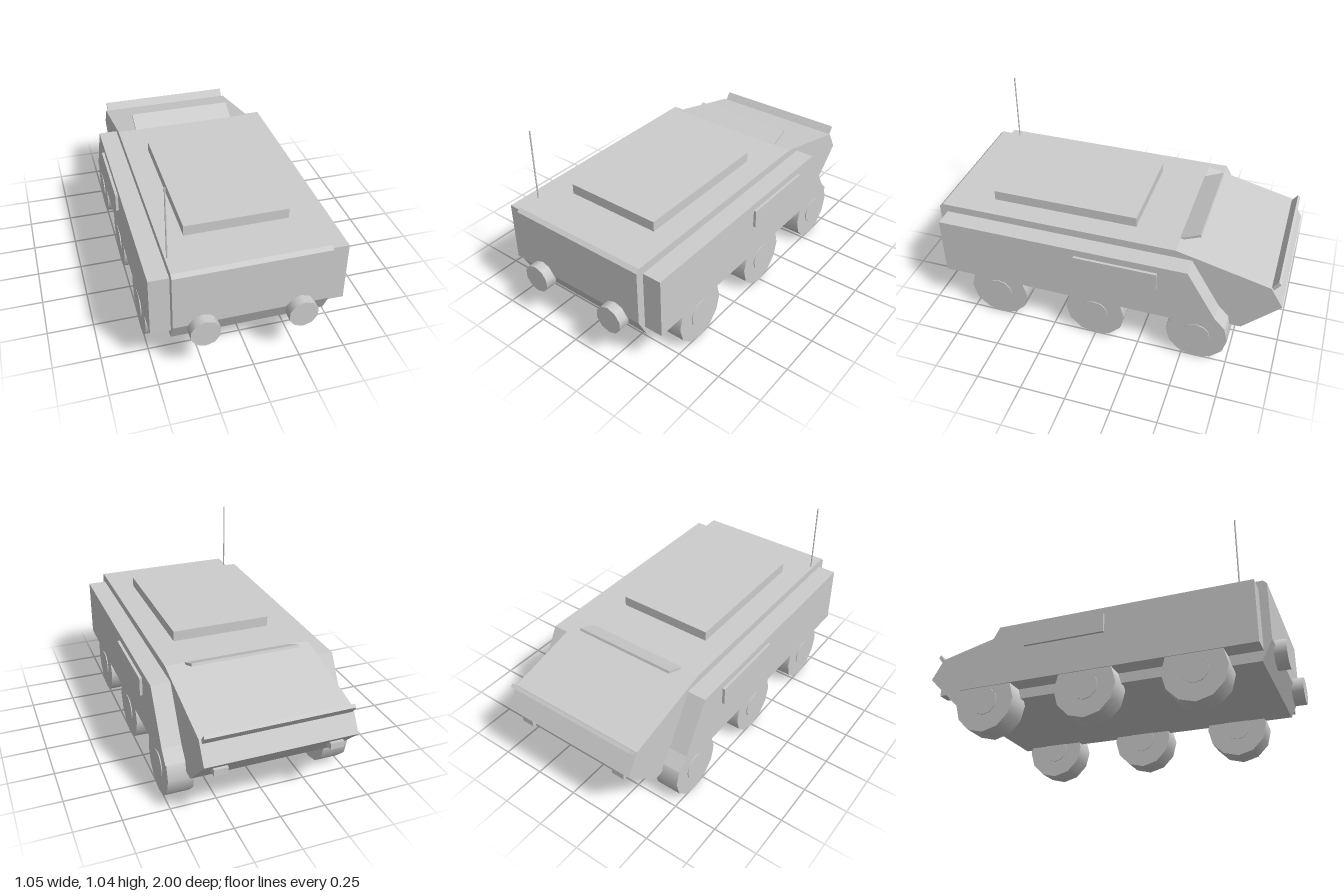
import * as THREE from 'three';

const armourGrey = new THREE.MeshStandardMaterial({ color: 0xcccccc });
armourGrey.name = 'armour grey';

export function createModel() {
  const model = new THREE.Group();
  model.name = 'armouredCarrier';

  const add = (name, geometry, x = 0, y = 0, z = 0) => {
    const mesh = new THREE.Mesh(geometry, armourGrey);
    mesh.name = name;
    mesh.position.set(x, y, z);
    model.add(mesh);
    return mesh;
  };

  // Side profile of [z, y] points, extruded across x and centred on it
  const profile = (points, width) => {
    const shape = new THREE.Shape(points.map(([z, y]) => new THREE.Vector2(z, y)));
    return new THREE.ExtrudeGeometry(shape, { depth: width, bevelEnabled: false })
      .rotateY(-Math.PI / 2)
      .translate(width / 2, 0, 0);
  };

  // Hull with sloped nose at -z
  add('hull', profile([
    [0.89, 0.2], [0.945, 0.31], [0.945, 0.622], [0.925, 0.64],
    [-0.42, 0.64], [-0.93, 0.515], [-1, 0.4], [-0.8, 0.2],
  ], 0.814));

  // Roof plate
  add('roofPlate', new THREE.BoxGeometry(0.556, 0.075, 0.83), 0, 0.6595, 0.247);

  // Raised flaps on the roof edge and the nose
  add('roofFlap', profile([[-0.41, 0.637], [-0.44, 0.637], [-0.53, 0.674], [-0.525, 0.688]], 0.6));
  add('noseVane', profile([[-0.93, 0.512], [-0.962, 0.556], [-0.976, 0.542], [-0.944, 0.498]], 0.79));

  // Whip antenna
  add('antenna', new THREE.CylinderGeometry(0.004, 0.004, 0.425, 8), -0.395, 0.8325, 0.805);

  const pod = profile([
    [0.9, 0.255], [0.9, 0.595], [-0.51, 0.595], [-0.67, 0.32], [-0.73, 0.255],
  ], 0.122);
  const wheel = new THREE.CylinderGeometry(0.17, 0.17, 0.14, 12).rotateZ(Math.PI / 2);
  const hub = new THREE.CylinderGeometry(0.075, 0.075, 0.15, 12).rotateZ(Math.PI / 2);
  const exhaust = new THREE.CylinderGeometry(0.079, 0.079, 0.065, 10).rotateX(Math.PI / 2);

  for (const [side, s] of [['left', 1], ['right', -1]]) {
    // Side armour and its raised panel
    add(`${side}SidePod`, pod, s * 0.451);
    add(`${side}SidePanel`, new THREE.BoxGeometry(0.04, 0.103, 0.46), s * 0.507, 0.502, -0.12);

    // Three wheels, each with a hub standing slightly proud
    [0.578, 0, -0.578].forEach((z, i) => {
      add(`${side}Wheel${i + 1}`, wheel, s * 0.437, 0.17, z);
      add(`${side}Hub${i + 1}`, hub, s * 0.437, 0.17, z);
    });

    // Round drum on the flat end, small lamp under the nose
    add(`${side}Drum`, exhaust, s * 0.255, 0.287, 0.9675);
    add(`${side}Lamp`, new THREE.BoxGeometry(0.075, 0.036, 0.045), s * 0.31, 0.338, -0.95);
  }

  return model;
}
